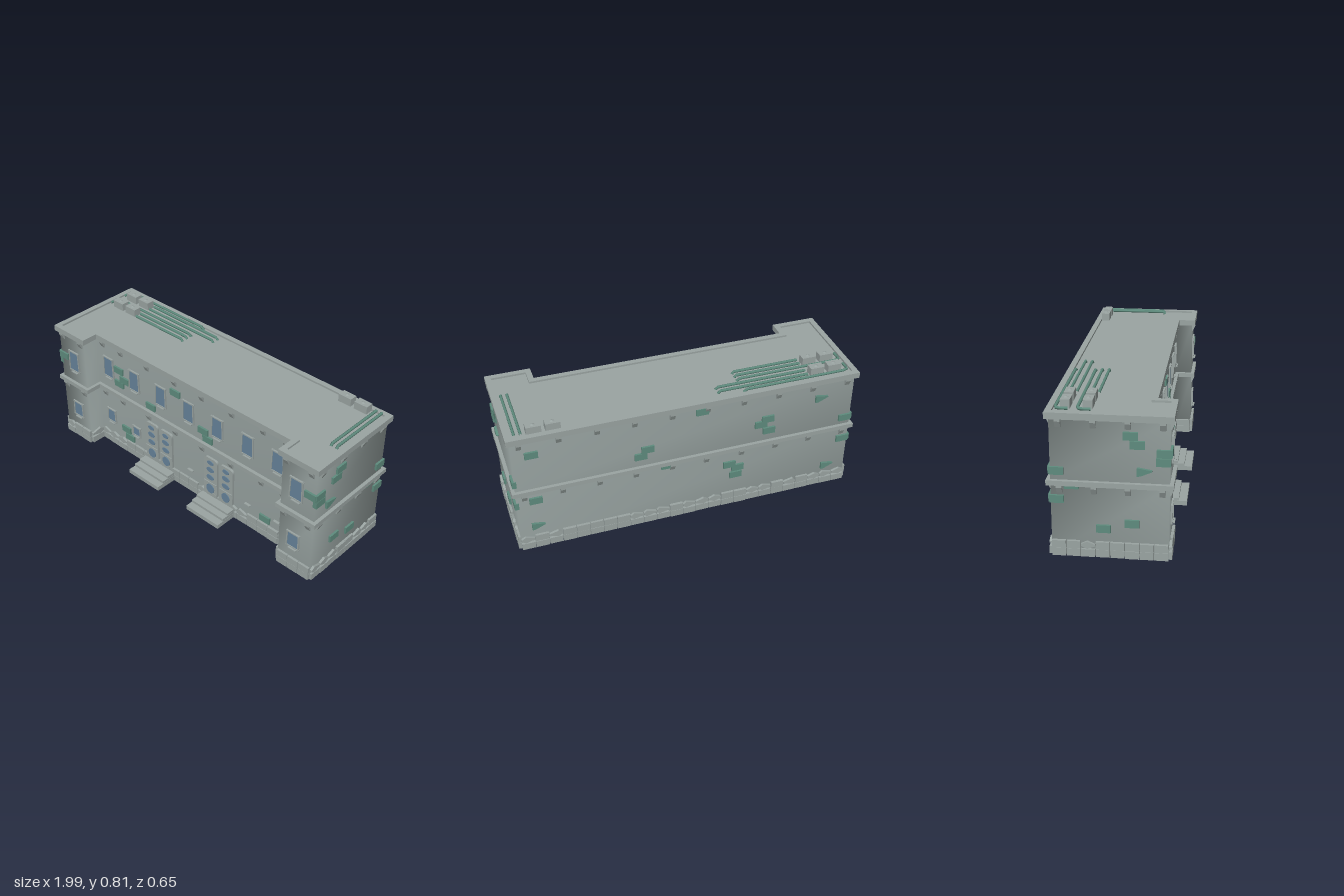
import * as THREE from 'three';

const mat = (name, color, side = THREE.FrontSide) => {
  const m = new THREE.MeshStandardMaterial({ color, side });
  m.name = name;
  return m;
};

export function createModel() {
  const stone = mat('grey stone', 0x9aa4a2);
  const wallMat = mat('grey wall', 0x98a3a1, THREE.DoubleSide);
  const green = mat('green brick', 0x5f8c7e);
  const glass = mat('blue glass', 0x66839a, THREE.DoubleSide);
  const root = new THREE.Group();
  root.name = 'building';

  const add = (parent, name, geo, m, x = 0, y = 0, z = 0) => {
    const mesh = new THREE.Mesh(geo, m);
    mesh.name = name;
    mesh.position.set(x, y, z);
    parent.add(mesh);
    return mesh;
  };
  const box = (w, h, d) => new THREE.BoxGeometry(w, h, d);
  const poly = pts => new THREE.Shape(pts.map(p => new THREE.Vector2(p[0], p[1])));
  const extrude = (shape, depth) =>
    new THREE.ExtrudeGeometry(shape, { depth, bevelEnabled: false, curveSegments: 6 });
  let seed = 7;
  const rand = () => (seed = (seed * 16807) % 2147483647) / 2147483647;

  // Footprint with two front wings, grown outward by o
  const X = 0.975, I = 0.757, W = 0.28, C = 0.18, B = -0.305;
  const outline = o => [
    [-X - o, W + o], [-I + o, W + o], [-I + o, C + o], [I - o, C + o],
    [I - o, W + o], [X + o, W + o], [X + o, B - o], [-X - o, B - o]];
  const footprint = o => poly(outline(o).map(([x, z]) => [x, -z]));
  const slab = (name, shape, y, h) =>
    add(root, name, extrude(shape, h).rotateX(-Math.PI / 2), stone, 0, y, 0);

  // Storey walls: one ribbon each, smooth around the corners
  for (const [name, y0, y1] of [['lowerWalls', 0.01, 0.39], ['upperWalls', 0.405, 0.735]]) {
    const pts = outline(0), n = pts.length, pos = [], idx = [];
    pts.forEach(([x, z], i) => {
      pos.push(x, y0, z, x, y1, z);
      const a = 2 * i, b = 2 * ((i + 1) % n);
      idx.push(a, b, b + 1, a, b + 1, a + 1);
    });
    const g = new THREE.BufferGeometry();
    g.setAttribute('position', new THREE.Float32BufferAttribute(pos, 3));
    g.setIndex(idx);
    g.computeVertexNormals();
    add(root, name, g, wallMat);
  }

  // Ledge between storeys, roof and its rim
  slab('middleLedge', footprint(0.02), 0.385, 0.026);
  slab('roof', footprint(0), 0.735, 0.018);
  const rim = footprint(0.02);
  rim.holes.push(poly(outline(-0.012).map(([x, z]) => [x, -z])));
  slab('roofRim', rim, 0.73, 0.034);

  // One local frame per wall: local x runs along the wall, local z points outward
  const frame = (name, x, z, angle) => {
    const g = new THREE.Group();
    g.name = name;
    g.position.set(x, 0, z);
    g.rotation.y = angle;
    root.add(g);
    return g;
  };
  const centre = frame('centreFront', 0, C, 0);
  const wings = frame('wingFronts', 0, W, 0);
  const right = frame('leftSide', X, 0, Math.PI / 2);
  const left = frame('rightSide', -X, 0, -Math.PI / 2);
  const back = frame('backSide', 0, B, Math.PI);

  // Brackets under both ledges
  const bracketGeo = extrude(poly([[0, 0], [0, -0.044], [0.005, -0.044], [0.02, -0.012], [0.02, 0]]), 0.028)
    .rotateY(-Math.PI / 2).translate(0.014, 0, 0);
  const brackets = (f, us) => {
    for (const u of us) for (const y of [0.386, 0.731]) add(f, 'bracket', bracketGeo, stone, u, y, 0);
  };
  brackets(centre, [-0.7, -0.545, -0.325, -0.105, 0.105, 0.325, 0.545, 0.7]);
  brackets(wings, [-0.945, -0.785, 0.785, 0.945]);
  brackets(right, [-0.245, -0.077, 0.09, 0.26]);
  brackets(left, [0.245, 0.077, -0.09, -0.26]);
  brackets(back, [-0.93, -0.72, -0.515, -0.31, -0.1, 0.1, 0.31, 0.515, 0.72, 0.93]);

  // Loose green bricks; a few are pointed
  const brickGeo = box(0.072, 0.041, 0.024);
  const wedgeGeo = extrude(poly([[-0.037, -0.022], [-0.02, -0.02], [0.037, 0.005], [0.037, 0.01], [-0.02, 0.02], [-0.037, 0.022]]), 0.014);
  const bricks = (f, list) => list.forEach(([u, y]) => add(f, 'brick', brickGeo, green, u, y, 0));
  const wedges = (f, list) => list.forEach(([u, y]) => add(f, 'pointedBrick', wedgeGeo, green, u, y, 0));
  const sideBricks = [[-0.09, 0.655], [-0.123, 0.61], [-0.252, 0.57], [-0.249, 0.526], [0.274, 0.46],
    [0.2, 0.388], [0.274, 0.31], [-0.097, 0.192], [0.044, 0.158]];
  bricks(right, sideBricks);
  bricks(left, sideBricks.map(([u, y]) => [-u, y]));
  wedges(right, [[-0.158, 0.472]]);
  wedges(left, [[0.158, 0.472]]);
  bricks(centre, [[-0.57, 0.577], [-0.525, 0.525], [-0.57, 0.483], [-0.305, 0.447], [-0.1, 0.64],
    [0.115, 0.488], [0.15, 0.445], [0.58, 0.122], [-0.53, 0.165], [-0.5, 0.118]]);
  bricks(wings, [[-0.945, 0.57], [0.945, 0.57]]);
  bricks(back, [[-0.87, 0.64], [-0.87, 0.33], [-0.24, 0.52], [-0.28, 0.48], [0.07, 0.7], [0.46, 0.56],
    [0.42, 0.53], [0.47, 0.48], [0.24, 0.29], [0.29, 0.26], [0.28, 0.21], [-0.13, 0.38], [0.94, 0.46], [0.94, 0.31]]);
  wedges(back, [[-0.87, 0.15], [0.78, 0.63], [0.86, 0.13]]);

  // Windows: pane, uneven frame bars and a sill
  const windowAt = (f, u, y, w, h) => {
    const g = new THREE.Group();
    g.name = 'window';
    g.position.set(u, y, 0);
    f.add(g);
    add(g, 'pane', box(w, h, 0.006), glass, 0, 0, 0.003);
    for (const s of [-1, 1]) {
      add(g, 'frameSide', box(0.007, h + 0.01, 0.012), stone, s * w / 2, 0, 0.004).rotation.z = s * 0.03;
      add(g, 'frameBar', box(w + 0.012, 0.007, 0.012), stone, 0, s * h / 2, 0.004);
    }
    add(g, 'sill', box(w * 0.7, 0.006, 0.022), stone, 0.006, -h / 2 - 0.006, 0.009);
  };
  for (const u of [-0.66, -0.44, -0.22, 0, 0.22, 0.44, 0.65]) windowAt(centre, u, 0.56, 0.078, 0.13);
  for (const u of [-0.855, 0.855]) {
    windowAt(wings, u, 0.56, 0.078, 0.13);
    windowAt(wings, u, 0.21, 0.076, 0.095);
  }
  windowAt(centre, -0.66, 0.207, 0.066, 0.085);
  windowAt(centre, -0.44, 0.195, 0.06, 0.06);
  // Sunken lower windows: only the sill reaches outside
  for (const u of [0, 0.44, 0.65]) {
    add(centre, 'innerPane', box(0.076, 0.1, 0.006), glass, u, 0.21, -0.008);
    add(centre, 'sill', box(0.04, 0.006, 0.02), stone, u + 0.015, 0.152, 0.006);
  }

  // Double doors with oval panes, and steps
  const leaf = new THREE.Shape();
  leaf.moveTo(-0.05, 0).lineTo(0.05, 0).lineTo(0.05, 0.24)
    .quadraticCurveTo(0.05, 0.265, 0.028, 0.265).lineTo(-0.028, 0.265)
    .quadraticCurveTo(-0.05, 0.265, -0.05, 0.24);
  const leafGeo = extrude(leaf, 0.014);
  const discGeo = new THREE.CylinderGeometry(1, 1, 0.006, 12).rotateX(Math.PI / 2);
  for (const x of [-0.24, 0.238]) {
    for (const s of [-1, 1]) {
      const g = new THREE.Group();
      g.name = 'door';
      g.position.set(x + s * 0.059, 0.065, 0);
      centre.add(g);
      add(g, 'doorLeaf', leafGeo, stone);
      for (const [y, rx, ry] of [[0.235, 0.024, 0.014], [0.185, 0.028, 0.017], [0.13, 0.028, 0.017], [0.047, 0.03, 0.032]]) {
        add(g, 'doorPane', discGeo, glass, 0, y, 0.015).scale.set(rx, ry, 1);
      }
      add(g, 'doorRail', box(0.096, 0.008, 0.01), stone, 0, 0.09, 0.014);
    }
    [[0.004, 0.026, 0.33], [0.03, 0.016, 0.285], [0.046, 0.014, 0.245]].forEach(([y, h, z], i) =>
      add(root, 'step', box(0.245 - i * 0.002, h, z - C + 0.01), stone, x, y + h / 2, (z + C - 0.01) / 2));
  }

  // Foundation: two courses of rough stones around the footprint
  const ring = outline(0);
  ring.forEach(([x0, z0], i) => {
    const [x1, z1] = ring[(i + 1) % ring.length];
    const len = Math.hypot(x1 - x0, z1 - z0);
    const course = frame('foundation', x0, z0, Math.atan2(-(z1 - z0), x1 - x0));
    for (const row of [0, 1]) {
      const count = Math.max(1, Math.round(len / 0.077));
      for (let k = 0; k < count; k++) {
        const step = len / count, w = step - 0.003, h = 0.041;
        const u = (k + 0.5) * step, y = 0.022 + row * 0.043, kind = rand();
        if (row === 1 && kind < 0.45) {
          const tip = (rand() - 0.5) * w * 0.7;
          const shape = poly([[-w / 2, -0.006], [tip, -h / 2], [w / 2, -0.004], [w / 2, 0.004], [tip, h / 2], [-w / 2, 0.006]]);
          add(course, 'roughStone', extrude(shape, 0.014), stone, u, y, 0);
        } else {
          add(course, 'stoneBlock', box(w, h, 0.028), stone, u, y, (rand() - 0.4) * 0.004);
        }
      }
    }
  });

  // Roof units with a shallow fan cone
  for (const [x, z] of [[-0.87, -0.235], [-0.765, -0.235], [-0.87, -0.125], [-0.765, -0.125], [0.738, -0.267], [0.84, -0.267]]) {
    add(root, 'roofUnit', box(0.08, 0.045, 0.048), stone, x, 0.779, z);
    add(root, 'roofFan', new THREE.ConeGeometry(0.015, 0.006, 6), stone, x, 0.804, z);
  }

  // Roof pipes
  const P = 0.769;
  const pipe = pts => {
    const path = new THREE.CurvePath();
    const v = pts.map(p => new THREE.Vector3(...p));
    for (let i = 1; i < v.length; i++) path.add(new THREE.LineCurve3(v[i - 1], v[i]));
    add(root, 'roofPipe', new THREE.TubeGeometry(path, 24, 0.008, 6), green);
  };
  for (const [z, end] of [[-0.28, -0.215], [-0.172, -0.105]]) {
    pipe([[-0.942, P, end], [-0.942, P, z + 0.012], [-0.93, P, z], [-0.325, P, z], [-0.318, P - 0.012, z]]);
  }
  for (const [z, end] of [[-0.25, -0.185], [-0.212, -0.185], [-0.137, -0.325], [-0.1, -0.325]]) {
    pipe([[-0.71, P, z], [end, P, z], [end + 0.006, P - 0.012, z]]);
  }
  for (const x of [0.908, 0.942]) pipe([[x, P, -0.295], [x, P, 0.085], [x, P - 0.012, 0.093]]);

  return root;
}
